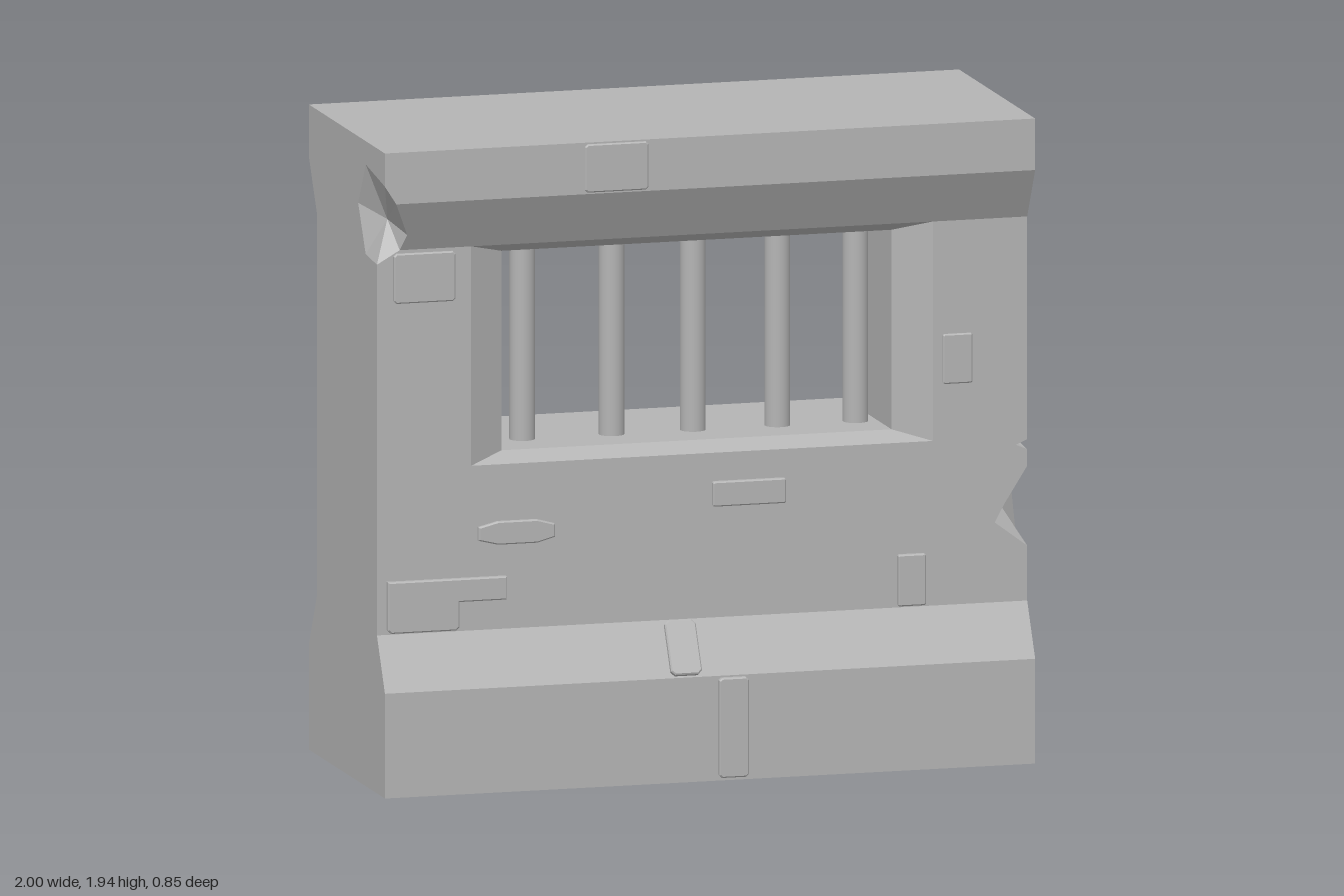
import * as THREE from 'three';
import { mergeGeometries } from 'three/addons/utils/BufferGeometryUtils.js';

const H = 1.94;
const BASE = 0.405, MID = 0.32;
// Front half of the wall profile, bottom to top: [z, y]
const PROFILE = [[BASE, 0], [BASE, 0.315], [MID, 0.475], [MID, 1.63], [BASE, 1.785], [BASE, H]];

// Broken corners. Each lists the break line on the front and on the end face, top to bottom.
const CHIPS = [
  { side: -1, front: [[1, 1.84], [0.965, 1.785], [0.915, 1.68], [0.93, 1.63], [1, 1.59]],
    end: [[BASE, 1.84], [0.2, 1.87], [0.12, 1.74], [0.2, 1.6], [MID, 1.59]], heart: [0.945, 1.71, 0.24] },
  { side: 1, front: [[1, 0.96], [0.965, 0.945], [1, 0.93]],
    end: [[MID, 0.96], [0.2, 0.963], [0.18, 0.89], [0.21, 0.94], [MID, 0.93]], heart: [0.975, 0.945, 0.24] },
  { side: 1, front: [[1, 0.88], [0.93, 0.77], [0.9, 0.715], [1, 0.64]],
    end: [[MID, 0.88], [0.22, 0.84], [0.15, 0.78], [0.2, 0.65], [0.25, 0.635], [MID, 0.64]], heart: [0.95, 0.74, 0.225] },
];

// Depth of the front skin at a given height
function depthAt(y) {
  for (let i = 0; i < PROFILE.length - 1; i++) {
    const [z0, y0] = PROFILE[i], [z1, y1] = PROFILE[i + 1];
    if (y <= y1) return z0 + (z1 - z0) * (y - y0) / (y1 - y0);
  }
  return BASE;
}

function flat(geometry) {
  const g = geometry.index ? geometry.toNonIndexed() : geometry;
  g.deleteAttribute('uv');
  g.computeVertexNormals();
  return g;
}

const shapeOf = pts => new THREE.Shape(pts.map(p => new THREE.Vector2(p[0], p[1])));

function triangles(list) {
  const g = new THREE.BufferGeometry();
  g.setAttribute('position', new THREE.Float32BufferAttribute(list.flat(), 3));
  g.computeVertexNormals();
  return g;
}

// Side edge of the skin, bottom to top, with the chips of that side inserted
function edge(side, chipped) {
  const chips = chipped ? CHIPS.filter(c => c.side === side) : [];
  const plain = PROFILE.map(p => [1, p[1]]).filter(p =>
    !chips.some(c => p[1] <= c.front[0][1] && p[1] >= c.front.at(-1)[1]));
  return [...plain, ...chips.flatMap(c => c.front)]
    .sort((a, b) => a[1] - b[1]).map(p => [p[0] * side, p[1]]);
}

// One long face of the wall, band by band; the middle band is open for the window
function skin(chipped) {
  const parts = [];
  for (let i = 0; i < PROFILE.length - 1; i++) {
    const y0 = PROFILE[i][1], y1 = PROFILE[i + 1][1];
    const within = p => p[1] >= y0 && p[1] <= y1;
    const windowCut = i === 2 ? [[0.71, 1.63], [0.71, 0.97], [-0.71, 0.97], [-0.71, 1.63]] : [];
    const g = new THREE.ShapeGeometry(shapeOf([
      ...edge(1, chipped).filter(within), ...windowCut, ...edge(-1, chipped).filter(within).reverse()]));
    const pos = g.attributes.position;
    for (let k = 0; k < pos.count; k++) pos.setZ(k, depthAt(pos.getY(k)));
    parts.push(flat(g));
  }
  return parts;
}

// End face of the wall
function endFace(side) {
  let front = PROFILE.slice();
  for (const c of CHIPS.filter(c => c.side === side)) {
    const at = front.findIndex(p => p[1] > c.front[0][1]);
    const below = front.slice(0, at).filter(p => p[1] < c.front.at(-1)[1]);
    const kept = front.slice(0, at).filter(p => p[1] > c.front[0][1]);
    front = [...below, ...c.end.slice().reverse(), ...kept, ...front.slice(at)];
  }
  // lower chips go in after upper ones, so restore the climb along the front edge
  const outline = [...front, ...PROFILE.slice().reverse().map(([z, y]) => [-z, y])];
  const g = new THREE.ShapeGeometry(shapeOf(outline.map(([z, y]) => [-side * z, y])));
  return flat(g.rotateY(side * Math.PI / 2).translate(side, 0, 0));
}

// Broken stone inside a chip: a fan round its deepest point
function chipFaces({ side, front, end, heart }) {
  const loop = [
    ...front.map(([x, y]) => [side * x, y, depthAt(y)]),
    ...end.slice(1, -1).reverse().map(([z, y]) => [side, y, z]),
  ];
  const core = [side * heart[0], heart[1], heart[2]];
  const list = [];
  loop.forEach((p, i) => {
    const q = loop[(i + 1) % loop.length];
    list.push(...(side > 0 ? [core, p, q] : [core, q, p]));
  });
  return triangles(list);
}

// Window reveal with splayed edges on both faces
function reveal() {
  const ring = (x, y0, y1, z) => [[-x, y0, z], [x, y0, z], [x, y1, z], [-x, y1, z]];
  const rings = [ring(0.71, 0.97, 1.63, MID), ring(0.6, 1, 1.6, 0.26),
    ring(0.6, 1, 1.6, -0.26), ring(0.71, 0.97, 1.63, -MID)];
  const list = [];
  for (let r = 0; r < 3; r++) for (let i = 0; i < 4; i++) {
    const j = (i + 1) % 4;
    const a = rings[r][i], b = rings[r][j], c = rings[r + 1][j], d = rings[r + 1][i];
    list.push(a, b, c, a, c, d);
  }
  return triangles(list);
}

const rect = (x0, x1, y0, y1, c = 0.008) => [
  [x0 + c, y0], [x1 - c, y0], [x1, y0 + c], [x1, y1 - c],
  [x1 - c, y1], [x0 + c, y1], [x0, y1 - c], [x0, y0 + c]];

// Raised stones: outline, surface depth, thickness
const SLOPE = Math.atan2(BASE - MID, 0.16);
const BRICKS = [
  { name: 'corniceBrick', pts: rect(-0.385, -0.19, 1.79, 1.935), z: BASE, t: 0.007 },
  { name: 'upperBrick', pts: rect(-0.95, -0.76, 1.47, 1.62), z: MID, t: 0.01 },
  { name: 'steppedBrick', pts: [[-0.97, 0.49], [-0.96, 0.48], [-0.76, 0.48], [-0.75, 0.49], [-0.75, 0.565],
    [-0.605, 0.565], [-0.605, 0.635], [-0.97, 0.635]], z: MID, t: 0.018 },
  { name: 'roundedBrick', pts: [[-0.69, 0.745], [-0.63, 0.73], [-0.51, 0.73], [-0.455, 0.745], [-0.455, 0.785],
    [-0.51, 0.8], [-0.63, 0.8], [-0.69, 0.785]], z: MID, t: 0.013 },
  { name: 'sillBrick', pts: rect(0.03, 0.255, 0.81, 0.885, 0.004), z: MID, t: 0.016 },
  { name: 'narrowBrick', pts: rect(0.6, 0.685, 0.48, 0.635, 0.004), z: MID, t: 0.016 },
  { name: 'jambBrick', pts: rect(0.74, 0.83, 1.14, 1.29, 0.004), z: MID, t: 0.008 },
  { name: 'slopeBrick', pts: rect(-0.12, -0.025, -0.085, 0.085, 0.012), z: 0.3625, y: 0.395, tilt: -SLOPE, t: 0.015 },
  { name: 'baseBrick', pts: rect(0.025, 0.115, 0.01, 0.31), z: BASE, t: 0.018 },
];

function brickGeometry({ pts, z, t, y = 0, tilt = 0 }, back) {
  const bevel = 0.004;
  const g = new THREE.ExtrudeGeometry(shapeOf(pts.map(p => [back ? -p[0] : p[0], p[1]])), {
    depth: t - bevel, bevelThickness: bevel, bevelSize: bevel, bevelOffset: -bevel, bevelSegments: 1 });
  g.rotateX(tilt).translate(0, y, z);
  return back ? g.rotateY(Math.PI) : g;
}

export function createModel() {
  const stone = new THREE.MeshStandardMaterial({ color: 0xb4b4b4 });
  stone.name = 'grey stone';
  const model = new THREE.Group();
  model.name = 'barredWindowWall';
  const add = (name, geometry) => {
    const mesh = new THREE.Mesh(geometry, stone);
    mesh.name = name;
    model.add(mesh);
    return mesh;
  };

  // Wall
  const cap = sign => flat(new THREE.PlaneGeometry(2, 2 * BASE).rotateX(-sign * Math.PI / 2));
  add('wall', mergeGeometries([
    ...skin(true), ...skin(false).map(g => g.rotateY(Math.PI)),
    endFace(1), endFace(-1), cap(1).translate(0, H, 0), cap(-1)]));
  add('windowReveal', reveal());
  CHIPS.forEach(c => add('brokenCorner', chipFaces(c)));

  // Bars
  for (const x of [-0.49, -0.215, 0.035, 0.295, 0.535]) {
    add('windowBar', new THREE.CylinderGeometry(0.038, 0.038, 0.6, 24, 1, true)).position.set(x, 1.3, 0.1);
  }

  // Raised stones on both faces
  for (const back of [false, true]) {
    for (const b of BRICKS) add((back ? 'back ' : 'front ') + b.name, brickGeometry(b, back));
  }
  return model;
}
